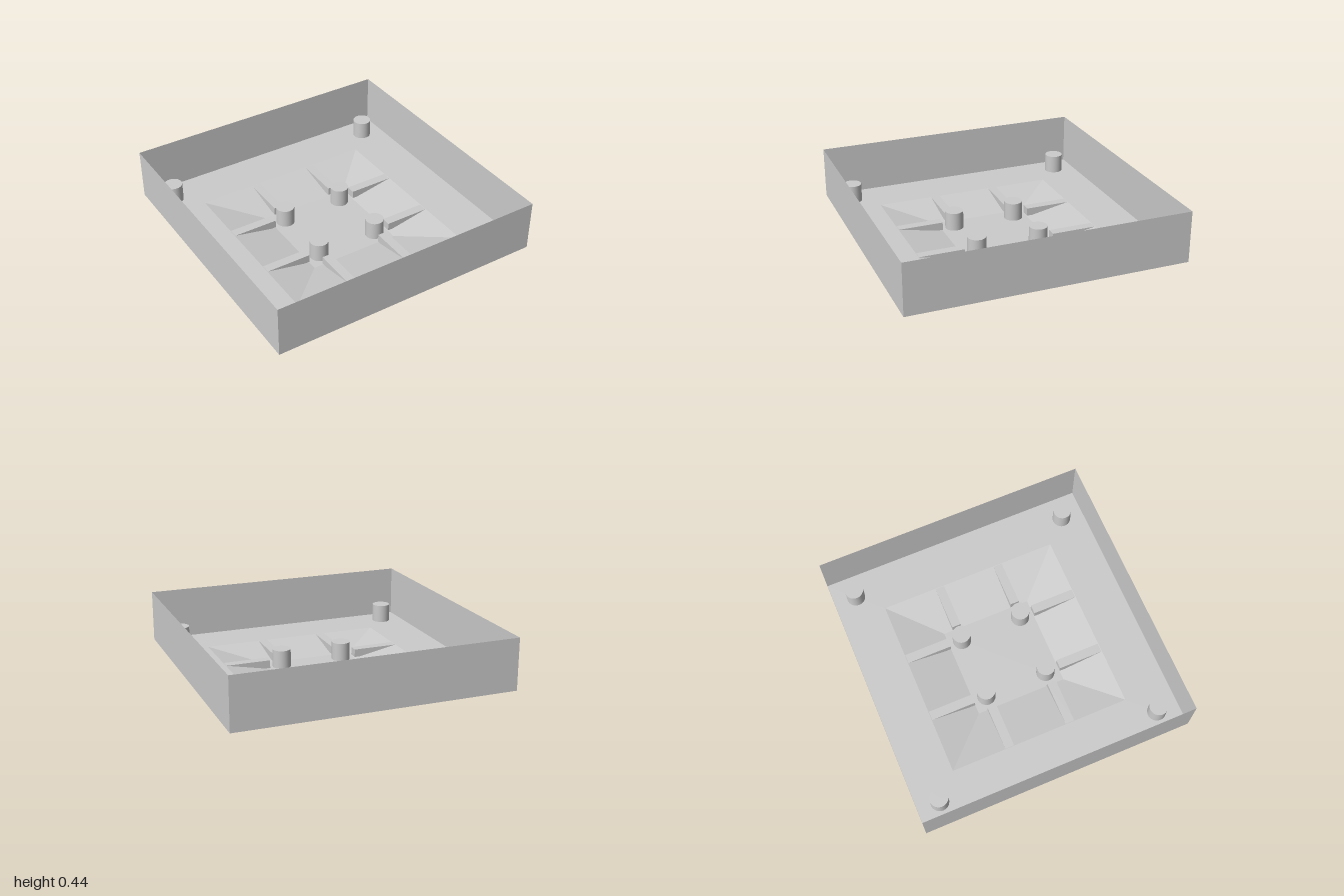
import * as THREE from 'three';

const U = 1 / 15; // base module: post radius, rib width and basin depth
const RIM = 0.44;

export function createModel() {
  const model = new THREE.Group();
  model.name = 'tray';
  const solid = new THREE.MeshStandardMaterial({ color: 0xcccccc });
  const sheet = new THREE.MeshStandardMaterial({
    color: 0xcccccc, side: THREE.DoubleSide, flatShading: true,
  });

  const add = (name, geometry, material, x = 0, y = 0, z = 0) => {
    const mesh = new THREE.Mesh(geometry, material);
    mesh.name = name;
    mesh.position.set(x, y, z);
    model.add(mesh);
    return mesh;
  };

  // Square shell swept from [half width, height] points, as a four-sided lathe
  const squareShell = (profile) => {
    const points = profile.map(([r, y]) => new THREE.Vector2(r * Math.SQRT2, y));
    const geometry = new THREE.LatheGeometry(points, 4, Math.PI / 4).toNonIndexed();
    geometry.computeVertexNormals();
    return geometry;
  };

  // Thin outer walls, flat ledge and sloping basin
  add('walls', squareShell([[1, U], [1, RIM]]), sheet);
  add('ledge', squareShell([[2 / 3, U], [1, U]]), sheet);
  add('basinSlopes', squareShell([[1 / 3, 0], [2 / 3, U]]), sheet);
  add('basinFloor', new THREE.PlaneGeometry(2 / 3, 2 / 3).rotateX(-Math.PI / 2), sheet);

  // Round posts: four on the ledge corners, four in the basin
  const post = new THREE.CylinderGeometry(U, U, 2 * U, 32);
  // Ribs crossing the slopes, two on each side
  const rib = new THREE.BoxGeometry(1 / 3, 0.058, U);
  for (const sx of [-1, 1]) {
    for (const sz of [-1, 1]) {
      add('cornerPost', post, solid, sx * 0.833, 2 * U, sz * 0.833);
      add('basinPost', post, solid, sx * 0.233, U, sz * 0.233);
      add('sideRib', rib, solid, sx * 0.5, 0.037, sz * 0.233);
      add('endRib', rib, solid, sx * 0.233, 0.037, sz * 0.5).rotation.y = Math.PI / 2;
    }
  }
  return model;
}
